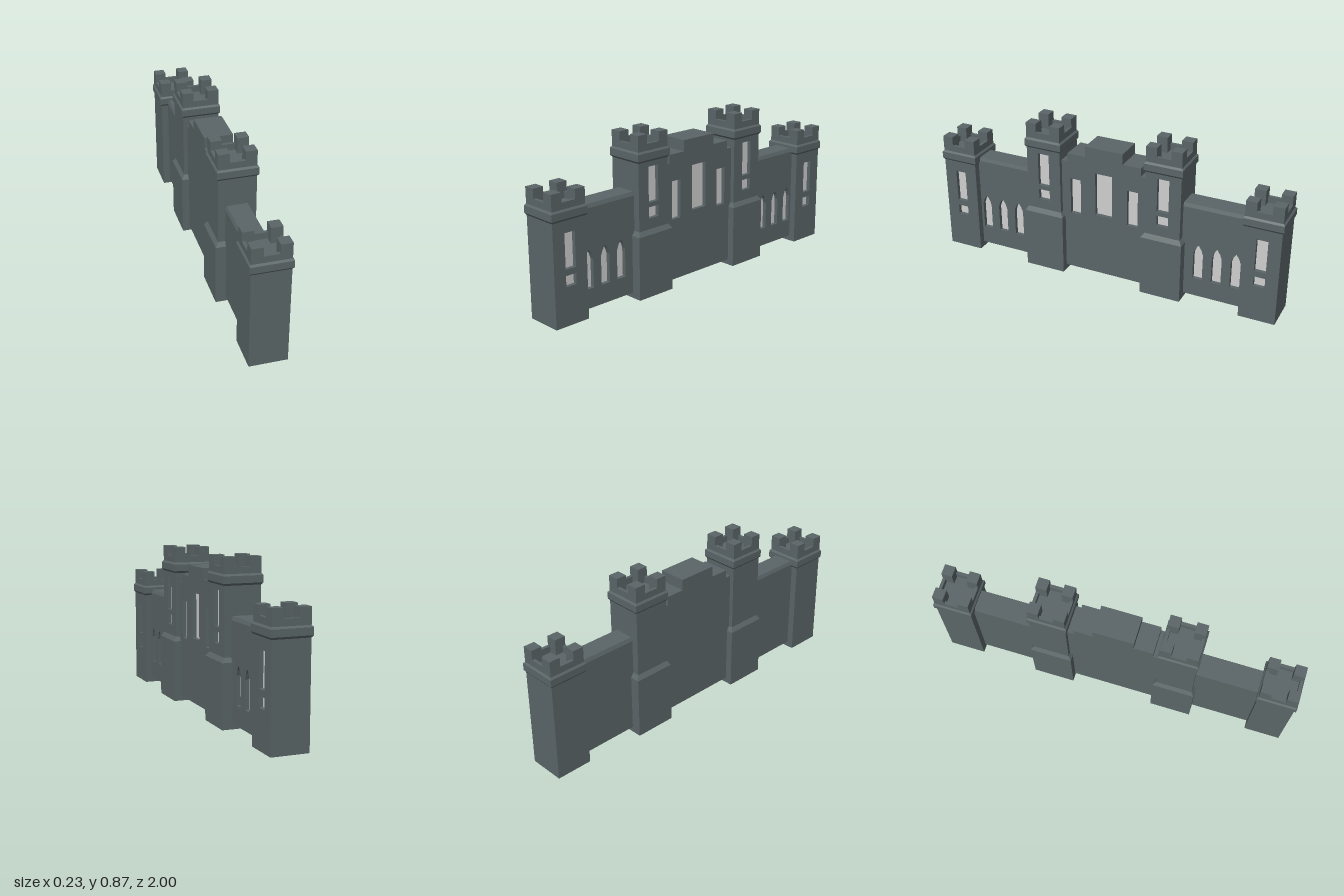
import * as THREE from 'three';

const stone = new THREE.MeshStandardMaterial({ color: 0x5a6567 });
stone.name = 'slate stone';
const glass = new THREE.MeshStandardMaterial({ color: 0xcfcfcf });
glass.name = 'pale pane';

const RECESS = 0.025;

function add(parent, name, geometry, material, x = 0, y = 0, z = 0) {
  const mesh = new THREE.Mesh(geometry, material);
  mesh.name = name;
  mesh.position.set(x, y, z);
  parent.add(mesh);
  return mesh;
}

// Closed outline in the wall plane: u runs along -z, v is up
function outline(points, Type = THREE.Shape) {
  return new Type(points.map(([u, v]) => new THREE.Vector2(u, v)));
}

const rect = (u0, u1, v0, v1) => [[u0, v0], [u1, v0], [u1, v1], [u0, v1]];

// Rectangular opening, or one with a pointed arch
function opening(u, half, v0, v1, pointed = false) {
  if (!pointed) return rect(u - half, u + half, v0, v1);
  const spring = v1 - 0.055;
  return [[u - half, v0], [u + half, v0], [u + half, spring], [u + half * 0.62, spring + 0.03],
    [u, v1], [u - half * 0.62, spring + 0.03], [u - half, spring]];
}

function extrudeX(shape, x0, x1) {
  const g = new THREE.ExtrudeGeometry(shape, { depth: x1 - x0, bevelEnabled: false });
  return g.translate(0, 0, x0).rotateY(Math.PI / 2);
}

// Solid wall with windows set into its +x face
function windowedWall(parent, name, points, half, windows) {
  const inner = half - RECESS;
  add(parent, name + 'Core', extrudeX(outline(points), -half, inner), stone);
  const face = outline(points);
  windows.forEach((w) => face.holes.push(outline(w, THREE.Path)));
  add(parent, name + 'Face', extrudeX(face, inner, half), stone);
  windows.forEach((w) => add(parent, 'windowPane', extrudeX(outline(w), inner - 0.002, inner + 0.003), glass));
}

// Square stack of tapering layers from [halfWidth, y] points
function squareLathe(profile) {
  const pts = profile.map(([r, y]) => new THREE.Vector2(r * Math.SQRT2, y));
  const g = new THREE.LatheGeometry(pts, 4, Math.PI / 4).toNonIndexed();
  g.computeVertexNormals();
  return g;
}

// Flared band, parapet and four corner merlons
function crown(parent, y) {
  add(parent, 'band', squareLathe([[0, y], [0.1, y], [0.108, y + 0.011], [0.108, y + 0.048],
    [0.1, y + 0.058], [0, y + 0.058]]), stone);
  const floor = y + 0.055, sill = y + 0.093, top = y + 0.143;
  const ring = outline(rect(-0.1, 0.1, -0.1, 0.1));
  ring.holes.push(outline(rect(-0.083, 0.083, -0.083, 0.083), THREE.Path));
  const g = new THREE.ExtrudeGeometry(ring, { depth: sill - floor, bevelEnabled: false });
  add(parent, 'parapet', g.rotateX(-Math.PI / 2), stone, 0, floor, 0);
  for (const sx of [-1, 1]) for (const sz of [-1, 1]) {
    add(parent, 'merlon', new THREE.BoxGeometry(0.06, top - floor, 0.06), stone,
      sx * 0.07, (floor + top) / 2, sz * 0.07);
  }
}

function tower(name, z, bandY, shaftY, windows) {
  const g = new THREE.Group();
  g.name = name;
  g.position.z = z;
  windowedWall(g, 'shaft', rect(-0.1, 0.1, shaftY, bandY + 0.005), 0.1, windows);
  crown(g, bandY);
  return g;
}

export function createModel() {
  const model = new THREE.Group();
  model.name = 'castleFacade';

  // Stepped middle wall
  const middle = new THREE.Group();
  middle.name = 'middleWall';
  model.add(middle);
  windowedWall(middle, 'middleWall', [[-0.27, 0.03], [0.27, 0.03], [0.27, 0.68], [0.215, 0.68],
    [0.215, 0.725], [0.11, 0.725], [0.11, 0.785], [-0.11, 0.785], [-0.11, 0.725],
    [-0.215, 0.725], [-0.215, 0.68], [-0.27, 0.68]], 0.077, [
    opening(0, 0.05, 0.39, 0.64),
    opening(-0.168, 0.031, 0.37, 0.58),
    opening(0.168, 0.031, 0.37, 0.58),
  ]);

  for (const s of [1, -1]) {
    const side = s > 0 ? 'front' : 'back';

    // Tall tower on a wide plinth
    const tall = tower(side + 'TallTower', s * 0.35, 0.727, 0.34, [
      opening(0, 0.033, 0.51, 0.7),
      opening(0, 0.033, 0.425, 0.485),
    ]);
    add(tall, 'plinth', squareLathe([[0, 0], [0.116, 0], [0.116, 0.343], [0.1, 0.367], [0, 0.367]]), stone);
    model.add(tall);

    // Short end tower
    model.add(tower(side + 'EndTower', s * 0.892, 0.541, 0, [
      opening(0, 0.031, 0.295, 0.48),
      opening(0, 0.031, 0.205, 0.262),
    ]));

    // Wing wall with pointed windows and a bevelled coping
    const wing = new THREE.Group();
    wing.name = side + 'Wing';
    model.add(wing);
    windowedWall(wing, 'wing', rect(-0.19, 0.19, 0.03, 0.555), 0.062,
      [-0.104, 0, 0.104].map((d) => opening(-s * (0.017 + d), 0.027, 0.135, 0.342, true)));
    const coping = new THREE.Shape([[-0.062, 0], [0.062, 0], [0.054, 0.02], [-0.054, 0.02]]
      .map(([x, y]) => new THREE.Vector2(x, y)));
    add(wing, 'coping', new THREE.ExtrudeGeometry(coping, { depth: 0.38, bevelEnabled: false }),
      stone, 0, 0.555, -0.19);
    wing.position.z = s * 0.63;
  }
  return model;
}
